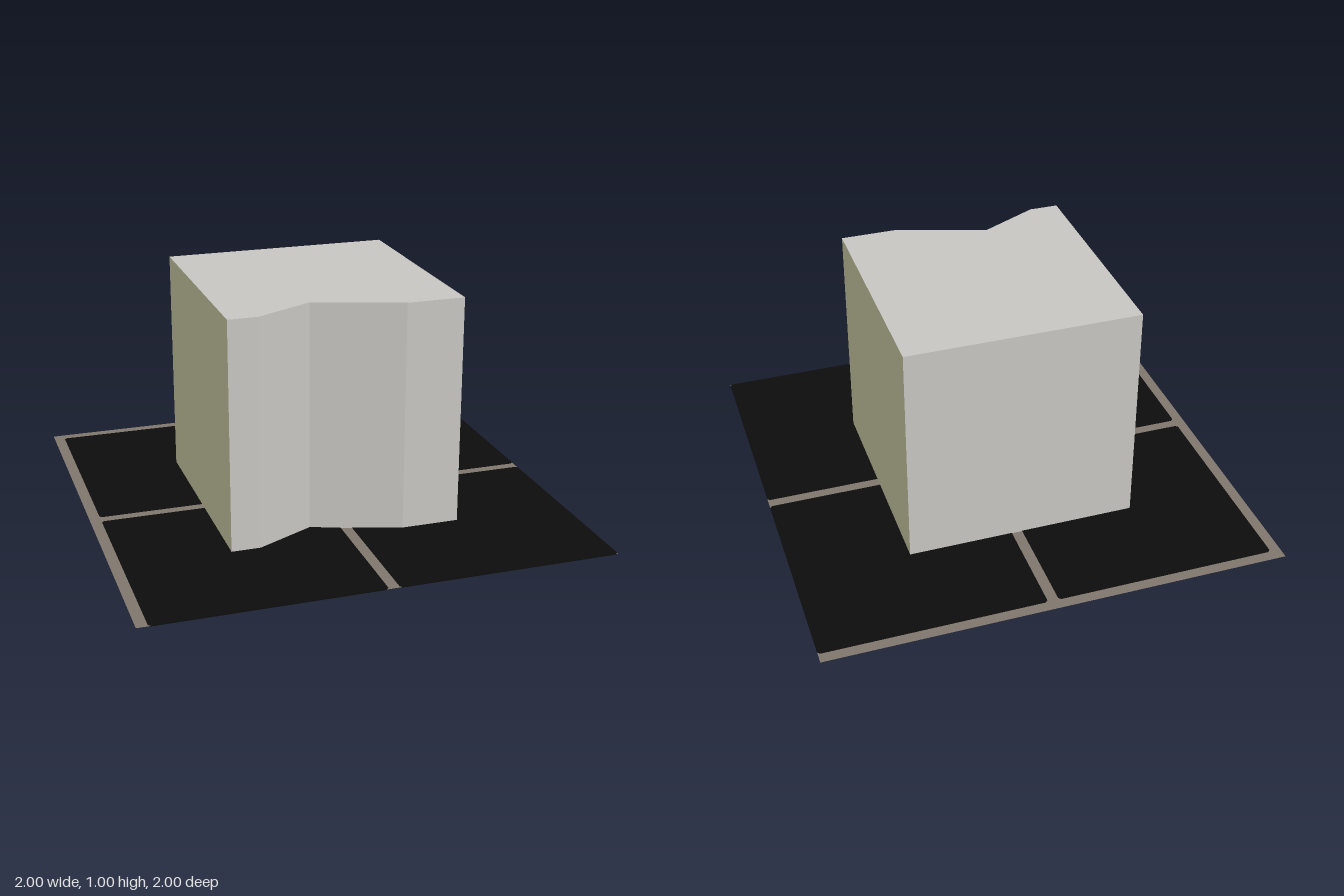
import * as THREE from 'three';

const paint = (name, color, extra = {}) => {
  const m = new THREE.MeshStandardMaterial({ color, ...extra });
  m.name = name;
  return m;
};

// Polygon given as [x, z] points, extruded upward from y = 0
function prism(points, height) {
  const shape = new THREE.Shape(points.map(([x, z]) => new THREE.Vector2(x, -z)));
  const geo = new THREE.ExtrudeGeometry(shape, { depth: height, bevelEnabled: false });
  return geo.rotateX(-Math.PI / 2);
}

export function createModel() {
  const stone = paint('pale grey stone', 0xc8c6c2);
  const olive = paint('pale olive', 0xcac8a2);
  const black = paint('black tile', 0x0d0d0d);
  const brown = paint('brown grout', 0x80766c, { side: THREE.DoubleSide });
  const model = new THREE.Group();
  model.name = 'blockOnTiles';

  // Block with a shallow V groove running up its front
  const blockGeo = prism([
    [-0.5, -0.5], [-0.5, 0.5], [-0.375, 0.5], [-0.125, 0.375],
    [0.25, 0.5], [0.5, 0.5], [0.5, -0.5],
  ], 1);

  // The left and right sides take the olive colour
  blockGeo.clearGroups();
  const normal = blockGeo.attributes.normal;
  for (let i = 0; i < normal.count; i += 3) {
    blockGeo.addGroup(i, 3, Math.abs(normal.getX(i)) > 0.95 ? 1 : 0);
  }
  const block = new THREE.Mesh(blockGeo, [stone, olive]);
  block.name = 'block';
  model.add(block);

  // Grout sheet under the whole floor
  const grout = new THREE.Mesh(new THREE.PlaneGeometry(2, 2).rotateX(-Math.PI / 2), brown);
  grout.name = 'grout';
  grout.position.y = 0.004;
  model.add(grout);

  // Four tiles with clipped corners, showing on both faces of the sheet
  const tile = (name, x0, x1, z0, z1) => {
    const c = 0.01;
    const mesh = new THREE.Mesh(prism([
      [x0 + c, z0], [x0, z0 + c], [x0, z1 - c], [x0 + c, z1],
      [x1 - c, z1], [x1, z1 - c], [x1, z0 + c], [x1 - c, z0],
    ], 0.004), black);
    mesh.name = name;
    mesh.position.y = 0.002;
    model.add(mesh);
  };
  const spans = [[-0.953, 0], [0.047, 1]];
  spans.forEach(([x0, x1], i) => spans.forEach(([z0, z1], j) => {
    tile(`${j ? 'front' : 'back'}${i ? 'Left' : 'Right'}Tile`, x0, x1, z0, z1);
  }));

  return model;
}
